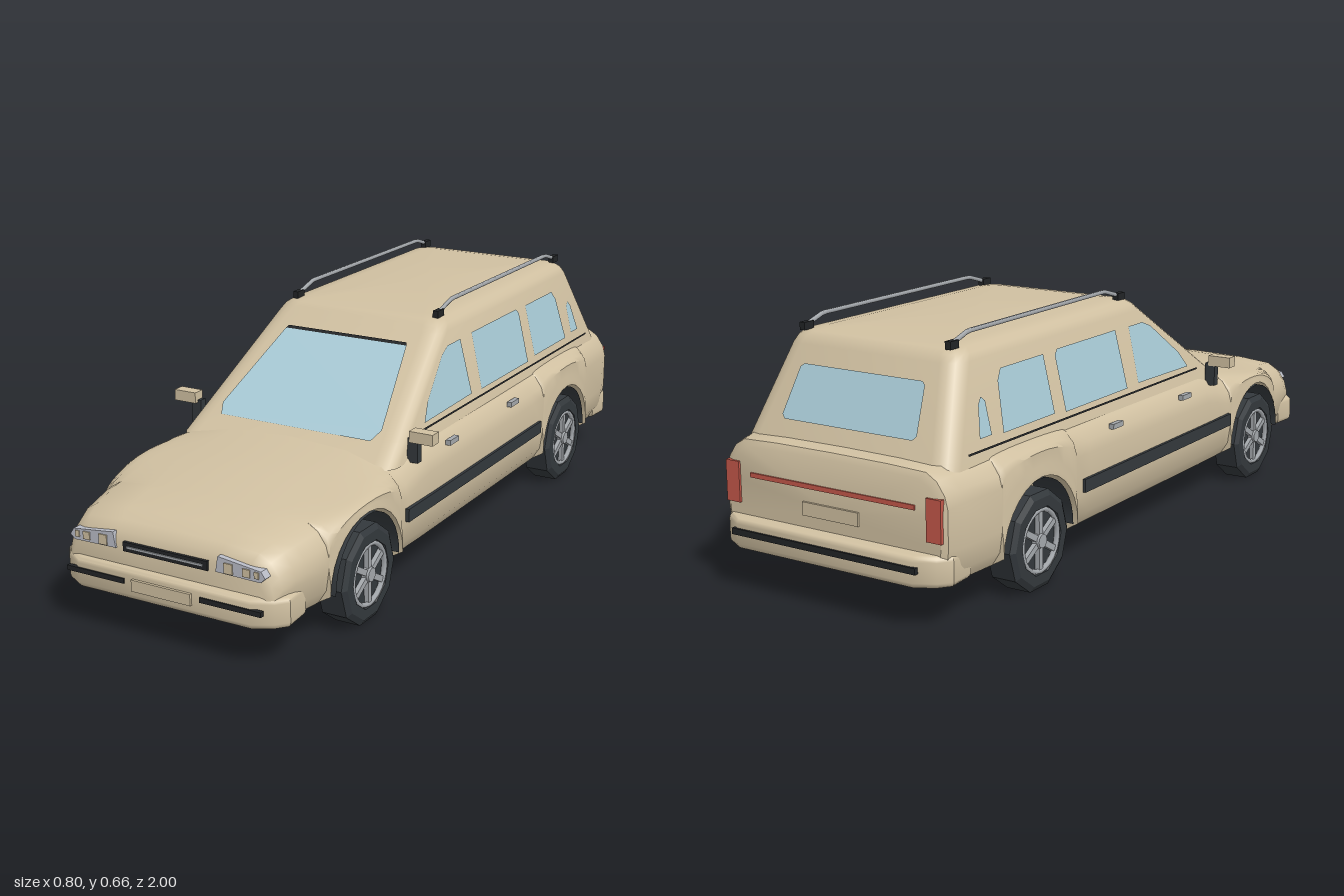
import * as THREE from 'three';
import { toCreasedNormals } from 'three/addons/utils/BufferGeometryUtils.js';

const mat = (name, color, side = THREE.FrontSide) => {
  const m = new THREE.MeshStandardMaterial({ color, side });
  m.name = name;
  return m;
};
const paint = mat('beige paint', 0xd0c0a1);
const glass = mat('pale blue glass', 0xa8cad5, THREE.DoubleSide);
const rubber = mat('dark rubber', 0x33383c, THREE.DoubleSide);
const black = mat('black trim', 0x222426, THREE.DoubleSide);
const chrome = mat('grey metal', 0xa4a8ac);
const lens = mat('lamp lens', 0xb9bcc6);
const red = mat('red lamp', 0xc4584a);

const WHEELS = [0.615, -0.585], AXLE_Y = 0.13, ARCH_R = 0.165, FLOOR = 0.11;

// linear lookup in a table of [position, value, value...]
function lookup(keys, z, c = 1) {
  if (z <= keys[0][0]) return keys[0][c];
  for (let i = 1; i < keys.length; i++) {
    const [a, b] = [keys[i - 1], keys[i]];
    if (z <= b[0]) return a[c] + (b[c] - a[c]) * (z - a[0]) / (b[0] - a[0]);
  }
  return keys[keys.length - 1][c];
}

// skin over closed rings, with fan caps at both ends
function loft(rings, crease) {
  const n = rings[0].length, pos = rings.flat(2), idx = [];
  for (let i = 0; i < rings.length - 1; i++) for (let j = 0; j < n; j++) {
    const a = i * n + j, b = i * n + (j + 1) % n;
    idx.push(a, b, b + n, a, b + n, a + n);
  }
  [0, rings.length - 1].forEach((r, end) => {
    const centre = pos.length / 3;
    pos.push(...[0, 1, 2].map(k => rings[r].reduce((s, p) => s + p[k], 0) / n));
    for (let j = 0; j < n; j++) {
      const a = r * n + j, b = r * n + (j + 1) % n;
      idx.push(centre, end ? a : b, end ? b : a);
    }
  });
  const g = new THREE.BufferGeometry();
  g.setAttribute('position', new THREE.Float32BufferAttribute(pos, 3));
  g.setIndex(idx);
  return toCreasedNormals(g, crease);
}

// body side profile: z, half width, shoulder height, crown
const BODY = [
  [-0.955, 0.322, 0.365, 0.004], [-0.945, 0.336, 0.38, 0.005], [-0.9, 0.346, 0.386, 0.005],
  [-0.7, 0.355, 0.384, 0.005], [0.3, 0.355, 0.378, 0.006], [0.36, 0.354, 0.366, 0.014],
  [0.42, 0.353, 0.35, 0.021], [0.6, 0.349, 0.33, 0.022], [0.8, 0.335, 0.308, 0.018],
  [0.9, 0.318, 0.295, 0.012], [0.94, 0.307, 0.282, 0.008], [0.96, 0.298, 0.264, 0.006], [0.97, 0.288, 0.24, 0.004],
];

function bodySection(z) {
  const w = lookup(BODY, z), T = lookup(BODY, z, 2), crown = lookup(BODY, z, 3);
  let yb = FLOOR, arch = 0;
  for (const c of WHEELS) {
    const d = Math.abs(z - c);
    if (d <= ARCH_R + 1e-6) {
      yb = AXLE_Y + Math.sqrt(Math.max(0, ARCH_R ** 2 - d * d));
      arch = 1;
    }
  }
  const lift = y => yb + (y - FLOOR) * (T - yb) / (T - FLOOR);
  const half = [
    [0.25, FLOOR], [0.25, yb], [w - (arch ? -0.004 : 0.03), yb],
    [w - (arch ? -0.004 : 0.008), lift(0.145)], [w, lift(Math.min(0.2, T - 0.09))], [w, lift(T - 0.08)],
    [w - 0.008, lift(T - 0.05)], [w - 0.03, lift(T - 0.018)], [w - 0.06, T], [w * 0.5, T + crown * 0.75],
  ];
  const right = half.map(([x, y]) => [x, y, z]);
  const left = half.map(([x, y]) => [-x, y, z]).reverse();
  return [[0, FLOOR, z], ...right, [0, T + crown, z], ...left];
}

// planes of the cabin walls by height
const sideX = y => 0.312 - 0.238 * (y - 0.39);
const frontZ = y => 0.39 - 1.46 * (y - 0.39);
const rearZ = y => -0.905 + 0.5 * (y - 0.39);

function cabinRing(y, yWall, inset, r) {
  const hx = sideX(yWall) - inset, zf = frontZ(yWall) - inset, zr = rearZ(yWall) + inset, ring = [];
  const corners = [[hx - r, zf - r], [hx - r, zr + r], [r - hx, zr + r], [r - hx, zf - r]];
  corners.forEach(([cx, cz], q) => {
    for (let k = 0; k <= 4; k++) {
      const t = (q + k / 4) * Math.PI / 2;
      ring.push([cx + r * Math.sin(t), y, cz + r * Math.cos(t)]);
    }
  });
  return ring;
}

export function createModel() {
  const car = new THREE.Group();
  car.name = 'stationWagon';
  const add = (name, geo, m, parent = car) => {
    const mesh = new THREE.Mesh(geo, m);
    mesh.name = name;
    parent.add(mesh);
    return mesh;
  };
  const box = (name, m, w, h, d, x, y, z, parent) => {
    const mesh = add(name, new THREE.BoxGeometry(w, h, d), m, parent);
    mesh.position.set(x, y, z);
    return mesh;
  };
  // flat pane laid onto a wall by a mapping rule
  const pane = (name, m, pts, rule) => {
    const g = new THREE.ShapeGeometry(new THREE.Shape(pts.map(p => new THREE.Vector2(...p))));
    const p = g.attributes.position;
    for (let i = 0; i < p.count; i++) p.setXYZ(i, ...rule(p.getX(i), p.getY(i)));
    g.computeVertexNormals();
    return add(name, g, m);
  };

  // lower body with wheel arches
  const stations = BODY.map(k => k[0]).concat([-0.35, -0.1, 0.1, 0.86]).filter(z => WHEELS.every(c => Math.abs(z - c) > 0.17));
  for (const c of WHEELS) {
    stations.push(c - ARCH_R - 0.001, c + ARCH_R + 0.001);
    for (let k = 0; k <= 14; k++) stations.push(c - ARCH_R * Math.cos(k * Math.PI / 14));
  }
  add('lowerBody', loft(stations.sort((a, b) => a - b).map(bodySection), 0.6), paint);

  // cabin and roof
  add('cabin', loft([
    cabinRing(0.34, 0.34, 0, 0.05), cabinRing(0.39, 0.39, 0, 0.05), cabinRing(0.6, 0.6, 0, 0.05),
    cabinRing(0.618, 0.61, 0.006, 0.05), cabinRing(0.629, 0.61, 0.022, 0.045), cabinRing(0.634, 0.61, 0.06, 0.03),
  ], 0.6), paint);

  // windscreen and rear window
  const onFront = (x, y) => [x, y, frontZ(y) + 0.006];
  pane('windscreen', glass, [[-0.23, 0.39], [0.23, 0.39], [0.246, 0.412], [0.19, 0.573], [-0.19, 0.573], [-0.246, 0.412]], onFront);
  pane('windscreenTopTrim', black, [[-0.19, 0.573], [0.19, 0.573], [0.185, 0.579], [-0.185, 0.579]], onFront);
  pane('rearWindow', glass, [[-0.205, 0.44], [-0.195, 0.43], [0.195, 0.43], [0.205, 0.44], [0.19, 0.55], [0.18, 0.558], [-0.18, 0.558], [-0.19, 0.55]],
    (x, y) => [x, y, rearZ(y) - 0.004]);

  // side windows, given as z and y
  const windows = [
    [[0.25, 0.41], [0.215, 0.455], [0.09, 0.55], [0.05, 0.566], [-0.025, 0.566], [-0.03, 0.415]],
    [[-0.09, 0.412], [-0.095, 0.568], [-0.385, 0.568], [-0.4, 0.555], [-0.4, 0.412]],
    [[-0.45, 0.418], [-0.45, 0.566], [-0.64, 0.566], [-0.66, 0.54], [-0.678, 0.418]],
    [[-0.725, 0.424], [-0.725, 0.505], [-0.74, 0.517], [-0.755, 0.5], [-0.775, 0.424]],
  ];
  for (const s of [1, -1]) {
    const onSide = (z, y) => [s * (sideX(y) + 0.003), y, z];
    windows.forEach(w => pane('sideWindow', glass, w, onSide));
    pane('beltTrim', black, [[0.3, 0.393], [0.3, 0.398], [-0.83, 0.4], [-0.83, 0.395]], onSide);

    // mouldings and handles
    box('sideMoulding', rubber, 0.016, 0.035, 0.82, s * 0.355, 0.2225, 0.02);
    for (const z of [0.165, -0.215]) box('doorHandle', chrome, 0.014, 0.014, 0.05, s * 0.349, 0.344, z);

    // mirrors
    box('mirrorStalk', rubber, 0.03, 0.065, 0.022, s * 0.335, 0.372, 0.352);
    box('mirrorHead', paint, 0.068, 0.03, 0.034, s * 0.364, 0.412, 0.357);

    // roof rails
    const rail = new THREE.CurvePath();
    const path = [[0.012, 0.64], [-0.07, 0.663], [-0.7, 0.661], [-0.768, 0.64]].map(([z, y]) => new THREE.Vector3(s * 0.222, y, z));
    for (let i = 0; i < 3; i++) rail.add(new THREE.LineCurve3(path[i], path[i + 1]));
    add('roofRail', new THREE.TubeGeometry(rail, 48, 0.006, 6), chrome);
    for (const z of [0.008, -0.764]) box('railFoot', black, 0.016, 0.02, 0.035, s * 0.222, 0.639, z);

    // front lamps
    const lamp = new THREE.Shape([[0.145, 0.228], [0.27, 0.226], [0.283, 0.238], [0.272, 0.254], [0.152, 0.268]].map(p => new THREE.Vector2(s * p[0], p[1])));
    const housing = add('headlamp', new THREE.ExtrudeGeometry(lamp, { depth: 0.025, bevelEnabled: false }), lens);
    housing.position.z = 0.95;
    [[0.182, 0.024, 0.026], [0.232, 0.02, 0.02], [0.26, 0.012, 0.016]].forEach(([x, w, h]) => box('lampBulb', paint, w, h, 0.01, s * x, 0.243, 0.973));
    box('frontBumperStrip', black, 0.172, 0.013, 0.012, s * 0.196, 0.156, 0.989);

    // tail lamps
    box('tailLamp', red, 0.042, 0.105, 0.03, s * 0.306, 0.272, -0.946);
  }

  // bumpers
  const bumper = (name, w, end, yTop) => {
    const pts = [[-w, 0.87], [w, 0.87], [w + 0.005, 0.93], [w - 0.015, end - 0.025], [w - 0.06, end], [0.06 - w, end], [0.015 - w, end - 0.025], [-w - 0.005, 0.93]];
    const g = new THREE.ExtrudeGeometry(new THREE.Shape(pts.map(p => new THREE.Vector2(...p))),
      { depth: 0.05, bevelSize: 0.012, bevelThickness: 0.014, bevelSegments: 3 });
    g.rotateX(Math.PI / 2).translate(0, yTop - 0.014, 0);
    return add(name, toCreasedNormals(g, 0.7), paint);
  };
  bumper('frontBumper', 0.307, 0.979, 0.187);
  bumper('rearBumper', 0.325, 0.982, 0.19).rotation.y = Math.PI;
  box('rearBumperStrip', black, 0.56, 0.016, 0.012, 0, 0.158, -0.994);

  // nose and tail details
  box('grille', black, 0.245, 0.024, 0.02, 0, 0.237, 0.966);
  box('grilleBar', chrome, 0.22, 0.006, 0.01, 0, 0.237, 0.974);
  box('frontPlate', paint, 0.172, 0.03, 0.014, 0, 0.151, 0.991);
  box('tailStripe', red, 0.5, 0.012, 0.014, 0, 0.295, -0.952);
  box('rearPlate', paint, 0.17, 0.034, 0.014, 0, 0.238, -0.954);

  // underside
  box('floorPan', black, 0.5, 0.035, 1.42, 0, 0.0955, 0);

  // wheels and arch liners
  const tyreProfile = [[0, -0.043], [0.112, -0.043], [0.13, -0.034], [0.13, 0.034], [0.115, 0.043], [0.088, 0.043], [0.082, 0.028], [0, 0.028]].map(p => new THREE.Vector2(...p));
  const tyre = toCreasedNormals(new THREE.LatheGeometry(tyreProfile, 10).rotateZ(-Math.PI / 2), 0.3);
  const liner = new THREE.CylinderGeometry(0.157, 0.157, 0.1, 18, 1, true, Math.PI, Math.PI).rotateZ(-Math.PI / 2);
  for (const z of WHEELS) for (const s of [1, -1]) {
    const wheel = new THREE.Group();
    wheel.name = 'wheel';
    wheel.position.set(s * 0.314, AXLE_Y, z);
    if (s < 0) wheel.rotation.y = Math.PI;
    car.add(wheel);
    add('tyre', tyre, rubber, wheel);
    add('rim', new THREE.TorusGeometry(0.079, 0.007, 6, 24).rotateY(Math.PI / 2), chrome, wheel).position.x = 0.036;
    for (let k = 0; k < 6; k++) {
      const a = k * Math.PI / 3;
      const spoke = box('spoke', chrome, 0.012, 0.06, 0.016, 0.034, 0.046 * Math.cos(a), 0.046 * Math.sin(a), wheel);
      spoke.rotation.x = a;
    }
    add('hub', new THREE.CylinderGeometry(0.018, 0.022, 0.02, 12).rotateZ(-Math.PI / 2), chrome, wheel).position.x = 0.036;
    add('archLiner', liner, rubber).position.set(s * 0.3, AXLE_Y, z);
  }
  return car;
}
